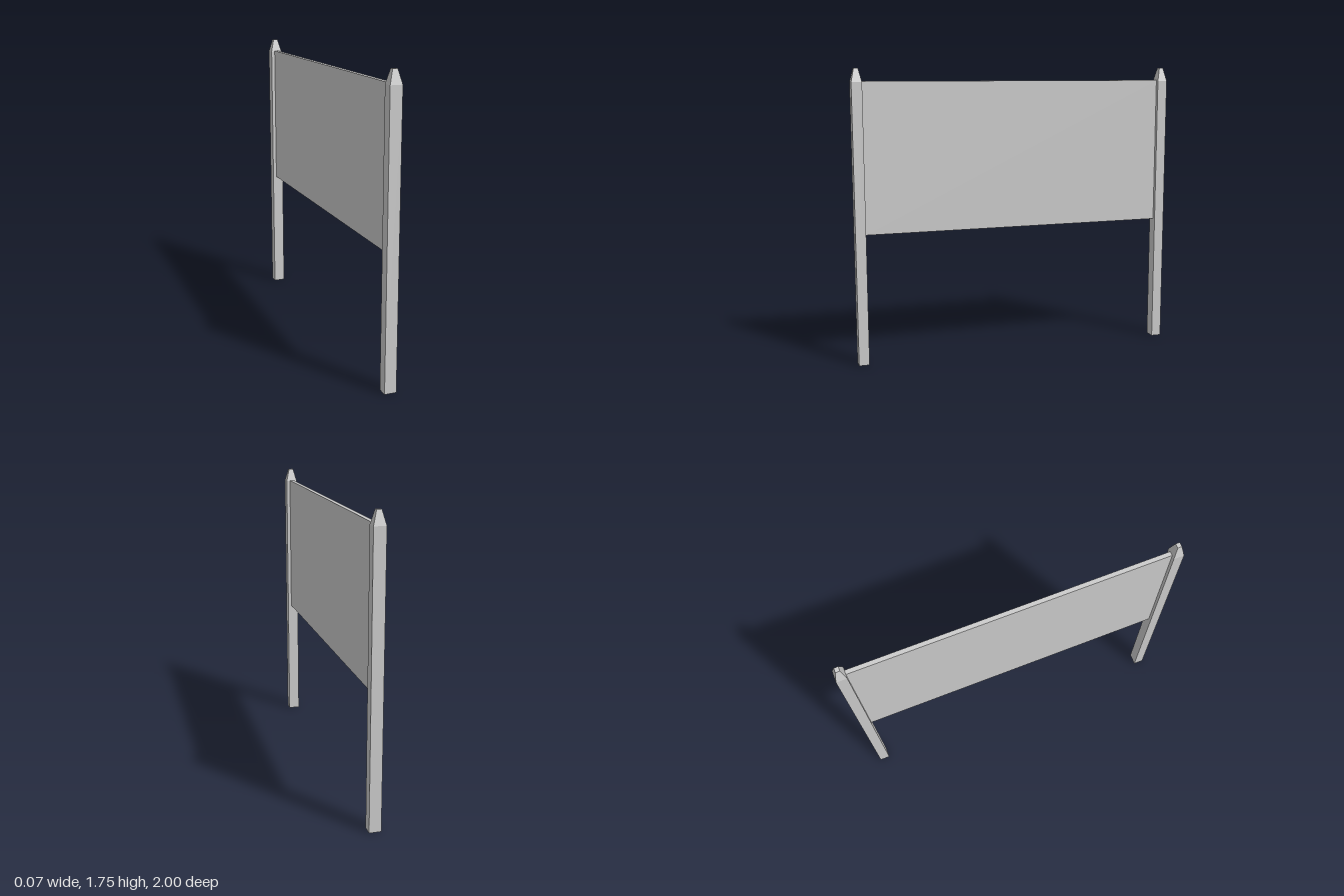
import * as THREE from 'three';

const material = new THREE.MeshStandardMaterial({ color: 0xcccccc, flatShading: true });

function box(name, w, h, d, y) {
  const mesh = new THREE.Mesh(new THREE.BoxGeometry(w, h, d), material);
  mesh.name = name;
  mesh.position.y = y + h / 2;
  return mesh;
}

// Square post whose top tapers to a small flat tip
function createPost(name) {
  const width = 0.07, depth = 0.062, shoulder = 1.675, top = 1.755;
  const post = new THREE.Group();
  post.name = name;

  const geometry = new THREE.BoxGeometry(width, top, depth, 1, 2, 1);
  geometry.translate(0, top / 2, 0);
  const p = geometry.attributes.position;
  for (let i = 0; i < p.count; i++) {
    const y = p.getY(i);
    if (y > top - 0.01) {
      p.setX(i, p.getX(i) * 0.4);
      p.setZ(i, p.getZ(i) * 0.4);
    } else if (y > 0.01) {
      p.setY(i, shoulder);
    }
  }
  geometry.computeVertexNormals();
  const shaft = new THREE.Mesh(geometry, material);
  shaft.name = name + 'Shaft';
  post.add(shaft);
  return post;
}

export function createModel() {
  const model = new THREE.Group();
  model.name = 'signBoard';

  // Panel held between the posts
  model.add(box('panel', 0.026, 0.895, 1.876, 0.785));

  // One post at each end
  for (const side of [-1, 1]) {
    const post = createPost(side > 0 ? 'frontPost' : 'backPost');
    post.position.z = side * 0.969;
    model.add(post);
  }
  return model;
}
